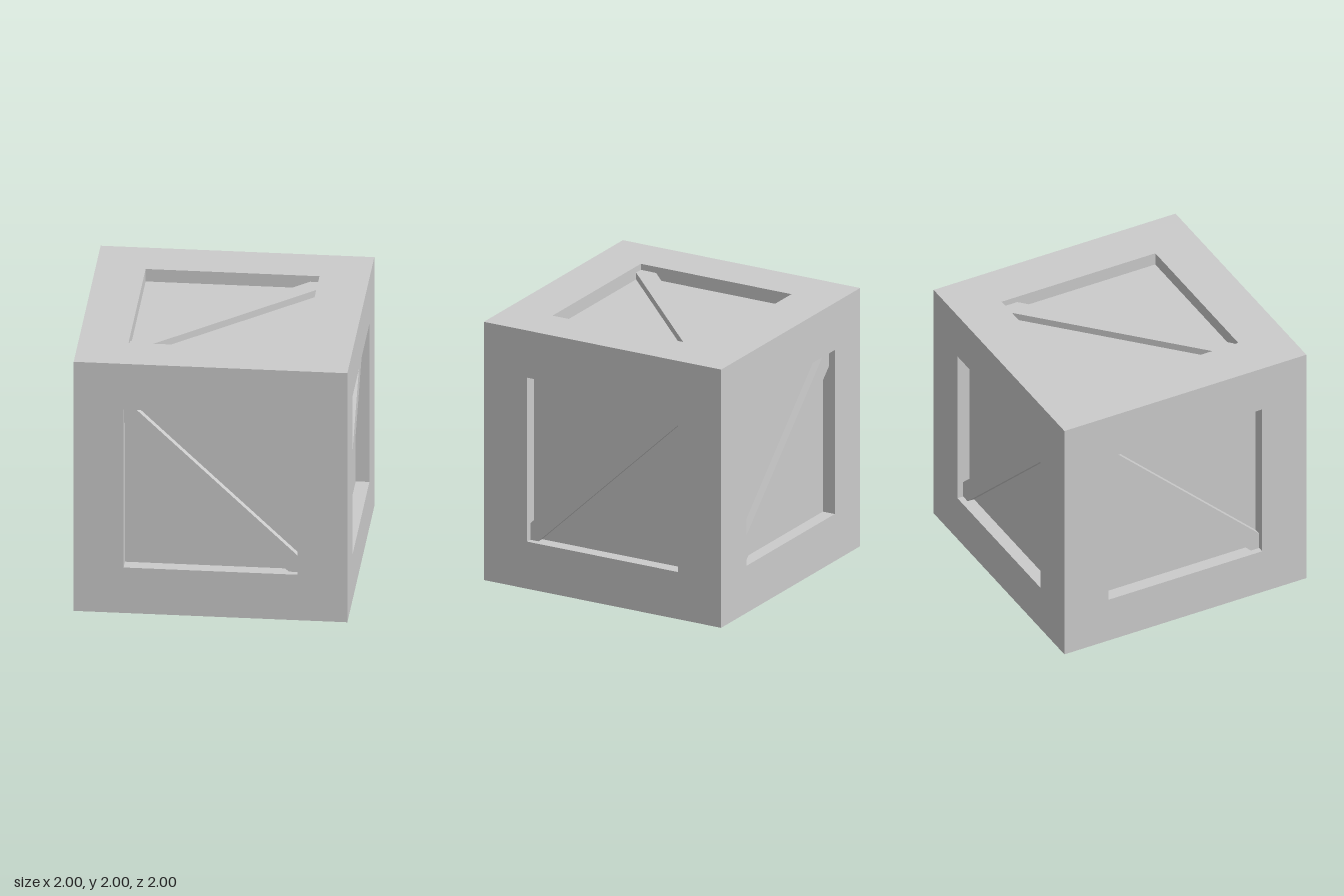
import * as THREE from 'three';

const HALF = 1;          // half the crate's side
const OPENING = 0.635;   // half the recessed opening
const DEPTH = 0.1;       // depth of the recess
const BRACE_TOP = 0.953; // distance of a brace's outer face from the centre
const BRACE_WIDTH = 0.14;
const BRACE_TILT = THREE.MathUtils.degToRad(43.5);

const material = new THREE.MeshStandardMaterial({ color: 0xcccccc, flatShading: true });

function addMesh(parent, geometry, name) {
  const mesh = new THREE.Mesh(geometry, material);
  mesh.name = name;
  parent.add(mesh);
  return mesh;
}

function traceSquare(path, h) {
  path.moveTo(-h, -h).lineTo(h, -h).lineTo(h, h).lineTo(-h, h).closePath();
  return path;
}

// Square frame whose outer rim is mitred, so six of them close into a cube
function frameGeometry() {
  const shape = traceSquare(new THREE.Shape(), HALF);
  shape.holes.push(traceSquare(new THREE.Path(), OPENING));
  const geometry = new THREE.ExtrudeGeometry(shape, { depth: DEPTH, bevelEnabled: false });
  geometry.translate(0, 0, HALF - DEPTH);

  const pos = geometry.attributes.position;
  const inset = (v) => (Math.abs(v) > HALF - 0.01 ? Math.sign(v) * (HALF - DEPTH) : v);
  for (let i = 0; i < pos.count; i++) {
    if (pos.getZ(i) < HALF - DEPTH / 2) {
      pos.setXY(i, inset(pos.getX(i)), inset(pos.getY(i)));
    }
  }
  geometry.computeVertexNormals();
  return geometry;
}

export function createModel() {
  const crate = new THREE.Group();
  crate.name = 'crate';
  crate.position.y = HALF;

  // Inner box: its faces are the recessed panels
  const core = 2 * (HALF - DEPTH);
  addMesh(crate, new THREE.BoxGeometry(core, core, core), 'panels');

  const frame = frameGeometry();
  const braceBottom = HALF - DEPTH - 0.02;
  const brace = new THREE.BoxGeometry(1.84, BRACE_WIDTH, BRACE_TOP - braceBottom);
  brace.translate(0, 0, (BRACE_TOP + braceBottom) / 2);

  // Each side: name, turn about x, turn about y, slope of its diagonal brace
  const q = Math.PI / 2;
  const sides = [
    ['front', 0, 0, -1],
    ['right', 0, q, 1],
    ['back', 0, 2 * q, 1],
    ['left', 0, -q, -1],
    ['top', -q, 0, 1],
    ['bottom', q, 0, -1],
  ];
  for (const [name, turnX, turnY, slope] of sides) {
    const side = new THREE.Group();
    side.name = `${name}Side`;
    side.rotation.set(turnX, turnY, 0);
    addMesh(side, frame, `${name}Frame`);
    addMesh(side, brace, `${name}Brace`).rotation.z = slope * BRACE_TILT;
    crate.add(side);
  }

  const model = new THREE.Group();
  model.name = 'model';
  model.add(crate);
  return model;
}
